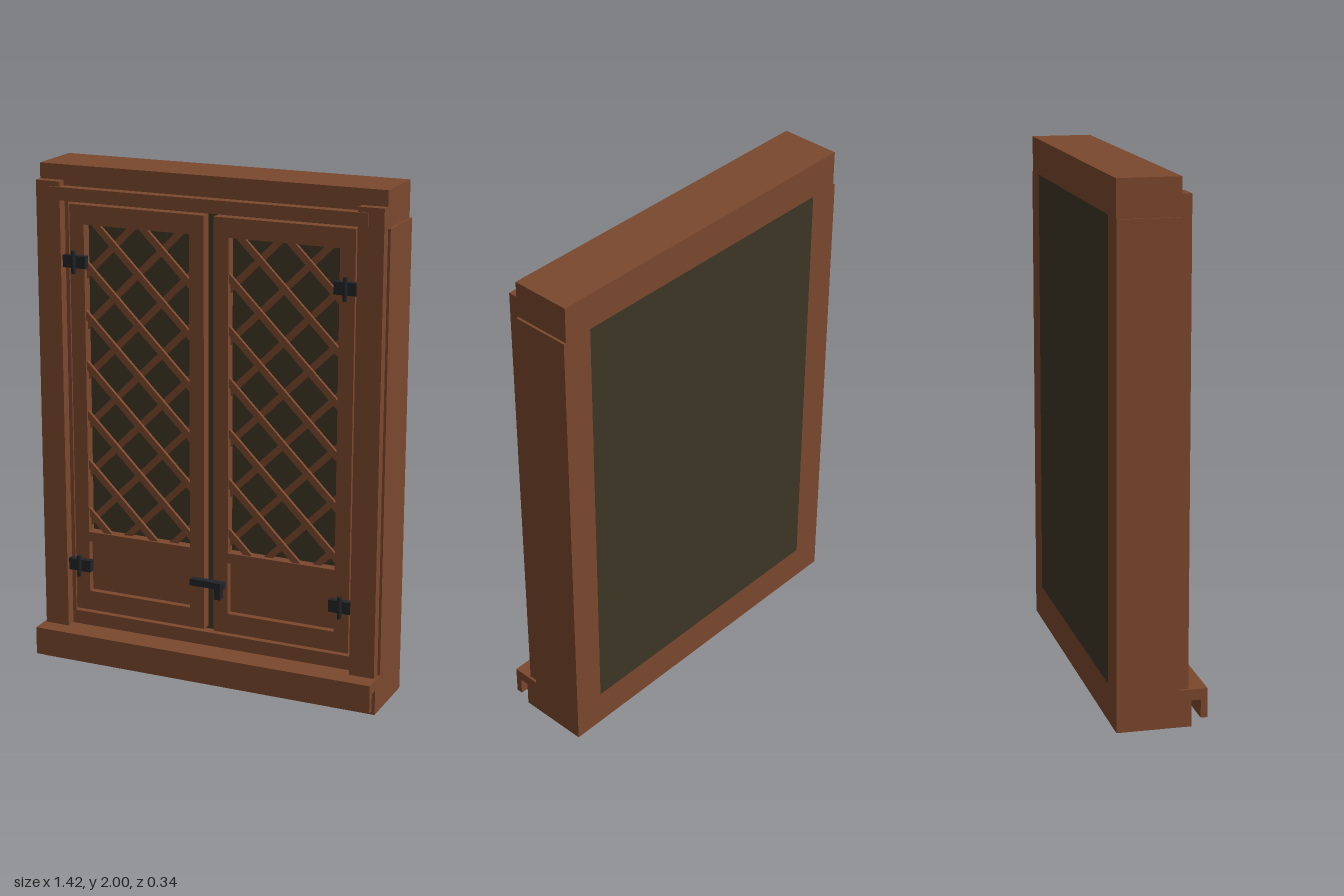
import * as THREE from 'three';

export function createModel() {
  const model = new THREE.Group();
  model.name = 'latticeWindow';
  const mat = (name, color) => Object.assign(new THREE.MeshStandardMaterial({ color }), { name });
  const wood = mat('wood', 0x7b482e);
  const glass = mat('darkGlass', 0x3d3625);
  const iron = mat('blackIron', 0x222427);

  // Box given by its limits on each axis
  function box(parent, name, material, x0, x1, y0, y1, z0, z1) {
    const mesh = new THREE.Mesh(new THREE.BoxGeometry(x1 - x0, y1 - y0, z1 - z0), material);
    mesh.position.set((x0 + x1) / 2, (y0 + y1) / 2, (z0 + z1) / 2);
    mesh.name = name;
    parent.add(mesh);
    return mesh;
  }
  // Same, mirrored to the given side
  const sided = (parent, s, name, material, x0, x1, ...rest) =>
    box(parent, name, material, Math.min(s * x0, s * x1), Math.max(s * x0, s * x1), ...rest);

  // Sill with overhanging drip lip
  const sill = new THREE.Group();
  sill.name = 'sill';
  model.add(sill);
  box(sill, 'sillBlock', wood, -0.71, 0.71, 0, 0.142, -0.17, 0.11);
  box(sill, 'sillShelf', wood, -0.71, 0.71, 0.1, 0.142, 0.11, 0.17);
  box(sill, 'sillLip', wood, -0.71, 0.71, 0.03, 0.1, 0.145, 0.17);

  // Frame head, crossbars and backing pane
  box(model, 'lintel', wood, -0.7, 0.7, 1.86, 2, -0.17, 0.065);
  box(model, 'headRail', wood, -0.64, 0.64, 1.87, 1.92, 0.065, 0.107);
  box(model, 'bottomFrameRail', wood, -0.585, 0.585, 0.142, 0.198, 0.02, 0.06);
  box(model, 'pane', glass, -0.585, 0.585, 0.142, 1.86, -0.17, 0.02);

  // Diagonal slats clipped to the door opening
  function lattice(door, x0, x1, y0, y1) {
    const m = 0.012, step = 0.2, half = Math.SQRT1_2;
    for (const dir of [1, -1]) {
      const z = dir < 0 ? 0.047 : 0.033;
      for (let k = -12; k <= 24; k++) {
        const c = k * step + (dir < 0 ? 0.1 : -0.1);
        // Line y = dir * x + c, kept inside the opening
        const xa = (y0 - m - c) * dir, xb = (y1 + m - c) * dir;
        const a = Math.max(x0 - m, Math.min(xa, xb));
        const b = Math.min(x1 + m, Math.max(xa, xb));
        if (b - a < 0.02) continue;
        const slat = new THREE.Mesh(new THREE.BoxGeometry((b - a) / half, 0.026, 0.014), wood);
        slat.position.set((a + b) / 2, dir * (a + b) / 2 + c, z);
        slat.rotation.z = dir * Math.PI / 4;
        slat.name = 'latticeSlat';
        door.add(slat);
      }
    }
  }

  for (const s of [-1, 1]) {
    // Side post and its raised casing
    sided(model, s, 'sidePost', wood, 0.585, 0.71, 0.142, 1.86, -0.17, 0.06);
    sided(model, s, 'casing', wood, 0.6, 0.7, 0.142, 1.94, 0.06, 0.1);

    // Door leaf
    const door = new THREE.Group();
    door.name = s > 0 ? 'leftDoor' : 'rightDoor';
    model.add(door);
    sided(door, s, 'outerStile', wood, 0.52, 0.58, 0.21, 1.85, 0.02, 0.062);
    sided(door, s, 'innerStile', wood, 0.02, 0.08, 0.21, 1.85, 0.02, 0.062);
    sided(door, s, 'topRail', wood, 0.08, 0.52, 1.775, 1.85, 0.02, 0.062);
    sided(door, s, 'middleRail', wood, 0.08, 0.52, 0.5, 0.54, 0.02, 0.062);
    sided(door, s, 'bottomRail', wood, 0.08, 0.52, 0.21, 0.29, 0.02, 0.062);
    sided(door, s, 'lowerPanel', wood, 0.08, 0.52, 0.29, 0.5, 0.02, 0.035);
    lattice(door, s > 0 ? 0.08 : -0.52, s > 0 ? 0.52 : -0.08, 0.54, 1.775);

    // Hinges
    for (const y of [0.402, 1.632]) {
      const hinge = new THREE.Group();
      hinge.name = 'hinge';
      door.add(hinge);
      sided(hinge, s, 'hingeLeaf', iron, 0.505, 0.6, y - 0.024, y + 0.024, 0.06, 0.085);
      const pin = new THREE.Mesh(new THREE.CylinderGeometry(0.009, 0.009, 0.088, 8), iron);
      pin.position.set(s * 0.552, y, 0.09);
      pin.name = 'hingePin';
      hinge.add(pin);
    }
  }

  // Latch across both doors
  const latch = new THREE.Group();
  latch.name = 'latch';
  model.add(latch);
  box(latch, 'latchBar', iron, -0.07, 0.07, 0.395, 0.422, 0.062, 0.09);
  box(latch, 'latchHandle', iron, 0.042, 0.068, 0.36, 0.428, 0.08, 0.108);

  return model;
}
